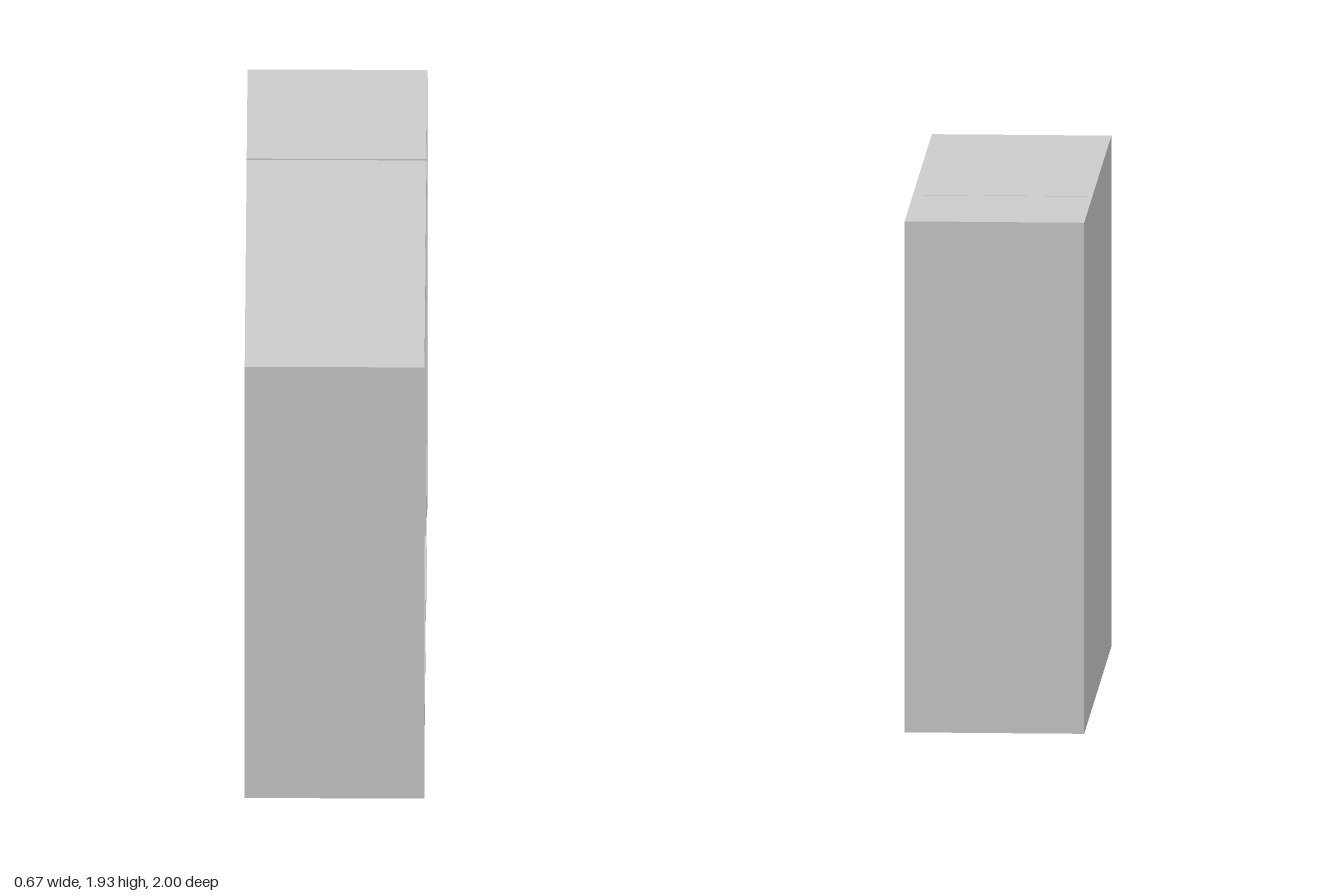
import * as THREE from 'three';

const material = new THREE.MeshStandardMaterial({ color: 0xcccccc });
const H = 1.93, BACK = -0.335, FRONT = 0.335;
const WALL = 0.066, BACK_THICK = 0.065;
const INNER_BACK = BACK + BACK_THICK;
const KICK_TOP = 0.2, KICK_DEPTH = 0.075;   // recess under the bottom shelf
const OPEN_BOTTOM = 0.295, OPEN_TOP = 1.865; // shelf opening
const SHELF_INSET = 0.022;
const SHELVES = [[0.62, 0.685], [1.01, 1.075], [1.41, 1.465]];

// Box given by its x and y limits, centred on z = 0
function box(name, x0, x1, y0, y1, width) {
  const mesh = new THREE.Mesh(new THREE.BoxGeometry(x1 - x0, y1 - y0, width), material);
  mesh.position.set((x0 + x1) / 2, (y0 + y1) / 2, 0);
  mesh.name = name;
  return mesh;
}

// One open bookcase, facing +x
function bookcase(name, width) {
  const unit = new THREE.Group();
  unit.name = name;
  const w = width / 2, o = w - WALL;

  // Sides, top and bottom in one piece: notched at the foot, open in the middle
  const outline = new THREE.Shape([
    [-w, 0], [-o, 0], [-o, KICK_TOP], [o, KICK_TOP], [o, 0], [w, 0], [w, H], [-w, H],
  ].map(([x, y]) => new THREE.Vector2(x, y)));
  outline.holes.push(new THREE.Path([
    [-o, OPEN_BOTTOM], [-o, OPEN_TOP], [o, OPEN_TOP], [o, OPEN_BOTTOM],
  ].map(([x, y]) => new THREE.Vector2(x, y))));
  const geometry = new THREE.ExtrudeGeometry(outline, { depth: FRONT - INNER_BACK, bevelEnabled: false });
  geometry.rotateY(Math.PI / 2);
  const frame = new THREE.Mesh(geometry, material);
  frame.position.x = INNER_BACK;
  frame.name = 'frame';
  unit.add(frame);

  unit.add(box('backPanel', BACK, INNER_BACK, 0, H, width));
  unit.add(box('plinth', INNER_BACK, FRONT - KICK_DEPTH, 0, KICK_TOP, 2 * o));
  SHELVES.forEach(([y0, y1], i) => {
    unit.add(box(`shelf${i + 1}`, INNER_BACK, FRONT - SHELF_INSET, y0, y1, 2 * o));
  });
  return unit;
}

export function createModel() {
  const model = new THREE.Group();
  model.name = 'bookcases';
  // Wide and narrow unit side by side with a thin gap
  const wide = bookcase('wideBookcase', 1.392);
  wide.position.z = 1 - 1.392 / 2;
  const narrow = bookcase('narrowBookcase', 0.6);
  narrow.position.z = -1 + 0.6 / 2;
  model.add(wide, narrow);
  return model;
}
